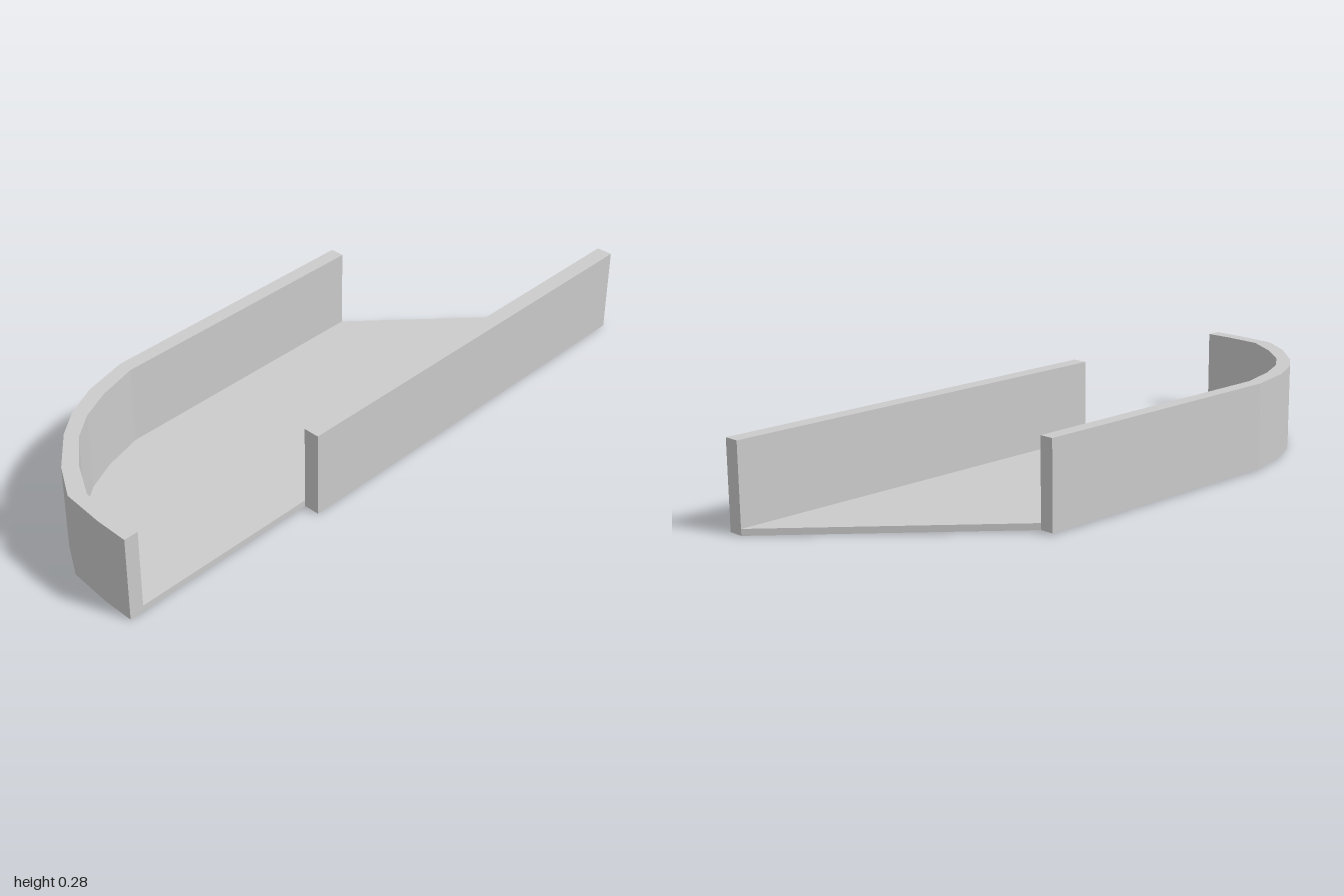
import * as THREE from 'three';

const HEIGHT = 0.27, FLOOR = 0.02;

// Curved wall outlines as [x, z], from the open front end round to the back end
const outer = [[-1, 0.275], [-0.998, 0.17], [-0.985, 0.035], [-0.92, -0.07], [-0.82, -0.18],
  [-0.74, -0.24], [-0.635, -0.29], [-0.49, -0.325], [0.4, -0.325]];
const inner = [[-0.955, 0.275], [-0.955, 0.19], [-0.945, 0.065], [-0.88, -0.045], [-0.80, -0.14],
  [-0.72, -0.2], [-0.62, -0.245], [-0.49, -0.28], [0.4, -0.28]];

export function createModel() {
  const group = new THREE.Group();
  group.name = 'curvedTray';
  const material = new THREE.MeshStandardMaterial({ color: 0xcccccc, flatShading: true });

  // Raises a plan outline to a given height, with a slight rise towards the back
  function addPrism(name, outline, height) {
    const shape = new THREE.Shape(outline.map(([x, z]) => new THREE.Vector2(x, -z)));
    const geometry = new THREE.ExtrudeGeometry(shape, { depth: height, bevelEnabled: false });
    geometry.rotateX(-Math.PI / 2);
    const p = geometry.attributes.position;
    for (let i = 0; i < p.count; i++) p.setY(i, p.getY(i) + 0.0045 - 0.009 * p.getZ(i));
    geometry.computeVertexNormals();
    const mesh = new THREE.Mesh(geometry, material);
    mesh.name = name;
    group.add(mesh);
  }

  // Back wall, curving round to the right-hand end
  addPrism('curvedBackWall', [...outer, ...[...inner].reverse()], HEIGHT);

  // Straight wall along the front
  addPrism('frontWall', [[-0.345, 0.275], [1, 0.275], [1, 0.325], [-0.345, 0.325]], HEIGHT);

  // Thin floor with a slanted open end
  addPrism('floor', [...inner, [1, 0.275]], FLOOR);

  return group;
}
